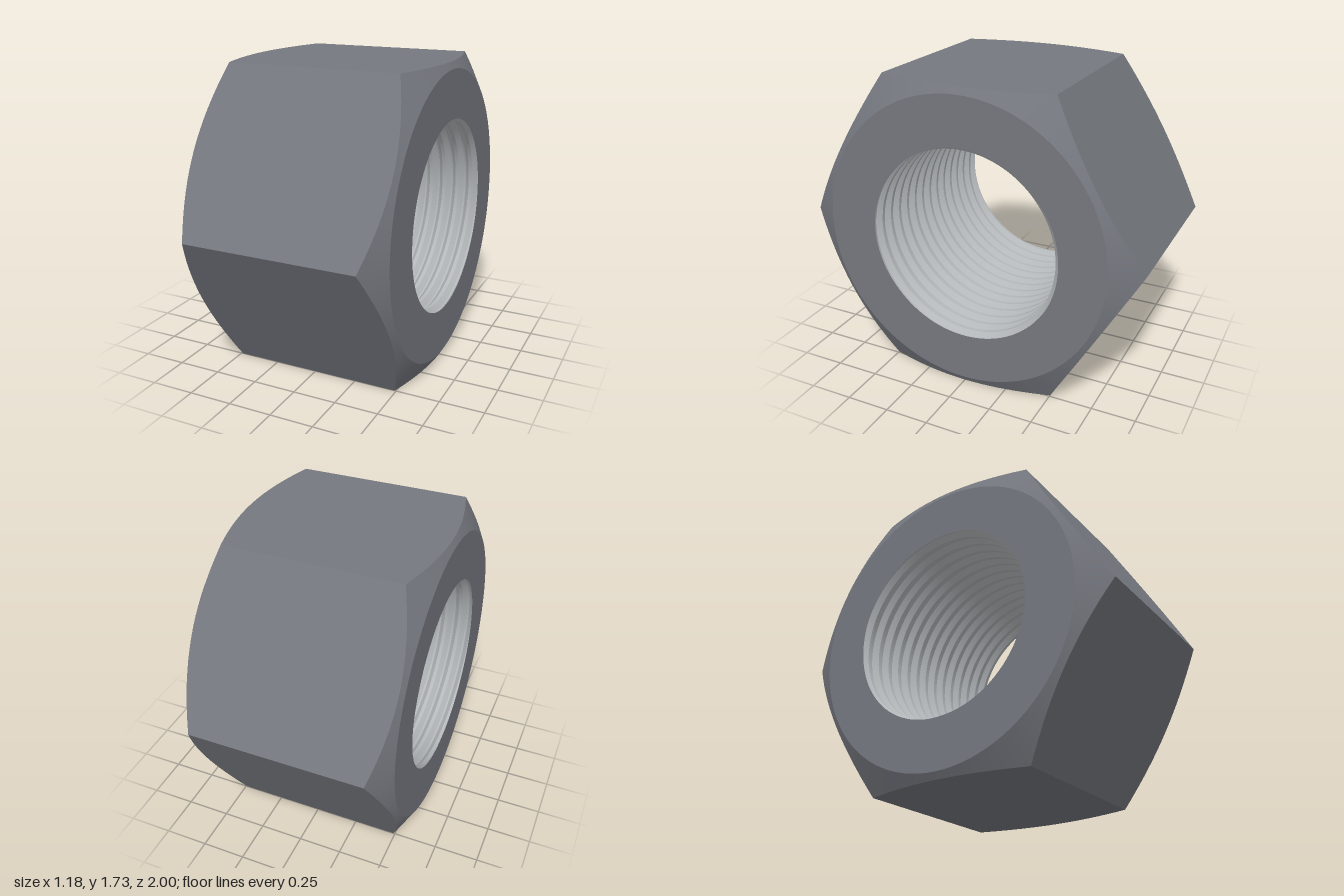
import * as THREE from 'three';
import { toCreasedNormals } from 'three/addons/utils/BufferGeometryUtils.js';

const HALF = 0.59;                  // half thickness along x
const APOTHEM = Math.sqrt(3) / 2;   // centre to flat
const FACE_R = 0.83;                // round bearing face
const MINOR = 0.541, MAJOR = 0.568; // thread radii
const PITCH = 0.085;
const TURNS = Math.ceil((2 * HALF) / PITCH);
const STEPS = 96;                   // multiple of 6 so corners are hit
const PHASE = 0.12 - HALF / PITCH;

// Thread profile over one pitch: [fraction, radius]
const PROFILE = [[0, MINOR], [0.25, MINOR], [0.56, MAJOR], [0.69, MAJOR], [1, MINOR]];

function threadRadius(x, theta) {
  let f = x / PITCH + theta / (2 * Math.PI) + PHASE;
  f -= Math.floor(f);
  const i = Math.max(1, PROFILE.findIndex((p) => f <= p[0]));
  const [f0, r0] = PROFILE[i - 1], [f1, r1] = PROFILE[i];
  return r0 + (r1 - r0) * (f - f0) / (f1 - f0);
}

// Sweeps a section of [x, radius] points, which may vary with angle, around the x axis
function sweep(name, section, color) {
  const rows = [];
  for (let i = 0; i <= STEPS; i++) {
    const t = (i / STEPS) * 2 * Math.PI;
    rows.push(section(t).map(([x, r]) =>
      new THREE.Vector3(x, APOTHEM + r * Math.sin(t), r * Math.cos(t))));
  }
  const pos = [];
  const tri = (a, b, c) => {
    const n = b.clone().sub(a).cross(c.clone().sub(a));
    if (n.length() > 1e-9) for (const v of [a, b, c]) pos.push(v.x, v.y, v.z);
  };
  for (let i = 0; i < STEPS; i++) {
    const p = rows[i], q = rows[i + 1];
    for (let j = 0; j + 1 < p.length; j++) {
      tri(p[j], q[j], q[j + 1]);
      tri(p[j], q[j + 1], p[j + 1]);
    }
  }
  const geo = new THREE.BufferGeometry();
  geo.setAttribute('position', new THREE.Float32BufferAttribute(pos, 3));
  const mesh = new THREE.Mesh(toCreasedNormals(geo, 0.3), new THREE.MeshStandardMaterial({ color }));
  mesh.name = name;
  return mesh;
}

// Distance from the axis to the hexagon outline
function hexRadius(t) {
  const sector = Math.PI / 3;
  const local = t - Math.floor(t / sector + 1e-9) * sector;
  return APOTHEM / Math.cos(local - sector / 2);
}

export function createModel() {
  const group = new THREE.Group();
  group.name = 'hexNut';

  // Dark steel body: bearing faces, 30 degree conical chamfers and side flats
  group.add(sweep('hexBody', (t) => {
    const r = hexRadius(t);
    const x = HALF - (r - FACE_R) * Math.tan(Math.PI / 6);
    return [
      [HALF, threadRadius(HALF, t)], [HALF, FACE_R], [x, r],
      [-x, r], [-HALF, FACE_R], [-HALF, threadRadius(-HALF, t)],
    ];
  }, 0x75787f));

  // Brighter helical internal thread, trimmed at both faces
  group.add(sweep('threadedBore', (t) => {
    const points = [];
    for (let k = -TURNS; k <= 1; k++) {
      for (const [f, r] of PROFILE.slice(0, 4)) {
        const x = (k + f - t / (2 * Math.PI) - PHASE) * PITCH;
        const cx = THREE.MathUtils.clamp(x, -HALF, HALF);
        points.push([cx, cx === x ? r : threadRadius(cx, t)]);
      }
    }
    return points;
  }, 0xb4b8bb));

  return group;
}
